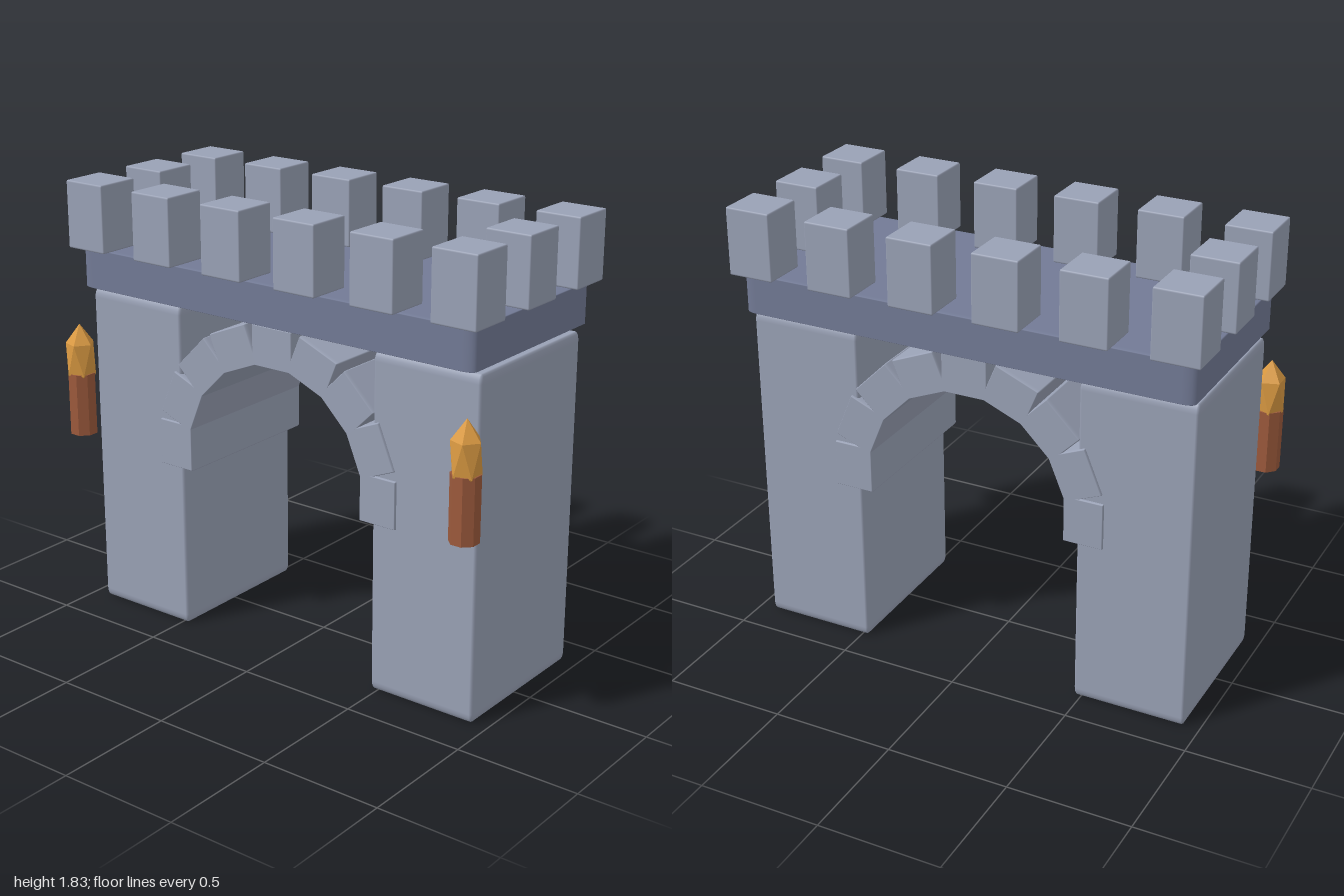
import * as THREE from 'three';
import { RoundedBoxGeometry } from 'three/addons/geometries/RoundedBoxGeometry.js';

const stone = new THREE.MeshStandardMaterial({ color: 0x99a1b5 });
const darkStone = new THREE.MeshStandardMaterial({ color: 0x727a95 });
const wood = new THREE.MeshStandardMaterial({ color: 0x9c5a3c, flatShading: true });
const fire = new THREE.MeshStandardMaterial({ color: 0xdb9a42, flatShading: true });

const MID_Z = -0.023; // the masonry sits slightly behind the torches

// One softly bevelled unit block, stretched to make every stone
const blockGeometry = new RoundedBoxGeometry(1, 1, 1, 2, 0.027);

function block(name, material, size, position) {
  const mesh = new THREE.Mesh(blockGeometry, material);
  mesh.name = name;
  mesh.scale.set(...size);
  mesh.position.set(...position);
  return mesh;
}

// Ring of square-cut stones over the opening
function createArch() {
  const arch = new THREE.Group();
  arch.name = 'arch';
  const radius = 0.5, count = 9;
  for (let i = 0; i < count; i++) {
    const a = (i / (count - 1)) * Math.PI - Math.PI / 2;
    const stoneBlock = block('archStone', stone, [0.195, 0.165, 0.70],
      [radius * Math.sin(a), 0.792 + radius * Math.cos(a), MID_Z]);
    stoneBlock.rotation.z = -a;
    arch.add(stoneBlock);
  }
  return arch;
}

// Merlons around the edge of the deck
function createBattlements() {
  const battlements = new THREE.Group();
  battlements.name = 'battlements';
  const columns = 6, rows = 3;
  for (let row = 0; row < rows; row++) {
    for (let col = 0; col < columns; col++) {
      const onEdge = row !== 1 || col === 0 || col === columns - 1;
      if (!onEdge) continue;
      battlements.add(block('merlon', stone, [0.19, 0.275, 0.188],
        [-0.875 + col * 0.35, 1.692, MID_Z + (1 - row) * 0.341]));
    }
  }
  return battlements;
}

function createTorch(side) {
  const torch = new THREE.Group();
  torch.name = side > 0 ? 'leftTorch' : 'rightTorch';
  torch.position.set(side * 0.94, 0, 0.405);

  const handle = new THREE.Mesh(
    new THREE.CylinderGeometry(0.058, 0.058, 0.26, 8).rotateY(Math.PI / 8), wood);
  handle.name = 'torchHandle';
  handle.position.y = 0.905;

  // Icosahedron turned so one corner points up, then stretched
  const tilt = Math.atan(2 / (1 + Math.sqrt(5)));
  const flame = new THREE.Mesh(
    new THREE.IcosahedronGeometry(1, 0).rotateZ(-tilt).scale(0.066, 0.146, 0.066), fire);
  flame.name = 'torchFlame';
  flame.position.y = 1.094;

  torch.add(handle, flame);
  return torch;
}

export function createModel() {
  const gate = new THREE.Group();
  gate.name = 'castleGate';

  for (const side of [-1, 1]) {
    gate.add(block(side > 0 ? 'leftPillar' : 'rightPillar', stone,
      [0.467, 1.372, 0.68], [side * 0.704, 0.686, MID_Z]));
    gate.add(createTorch(side));
  }

  gate.add(block('deck', darkStone, [1.875, 0.167, 0.787], [0, 1.471, MID_Z]));
  gate.add(createArch(), createBattlements());
  return gate;
}
